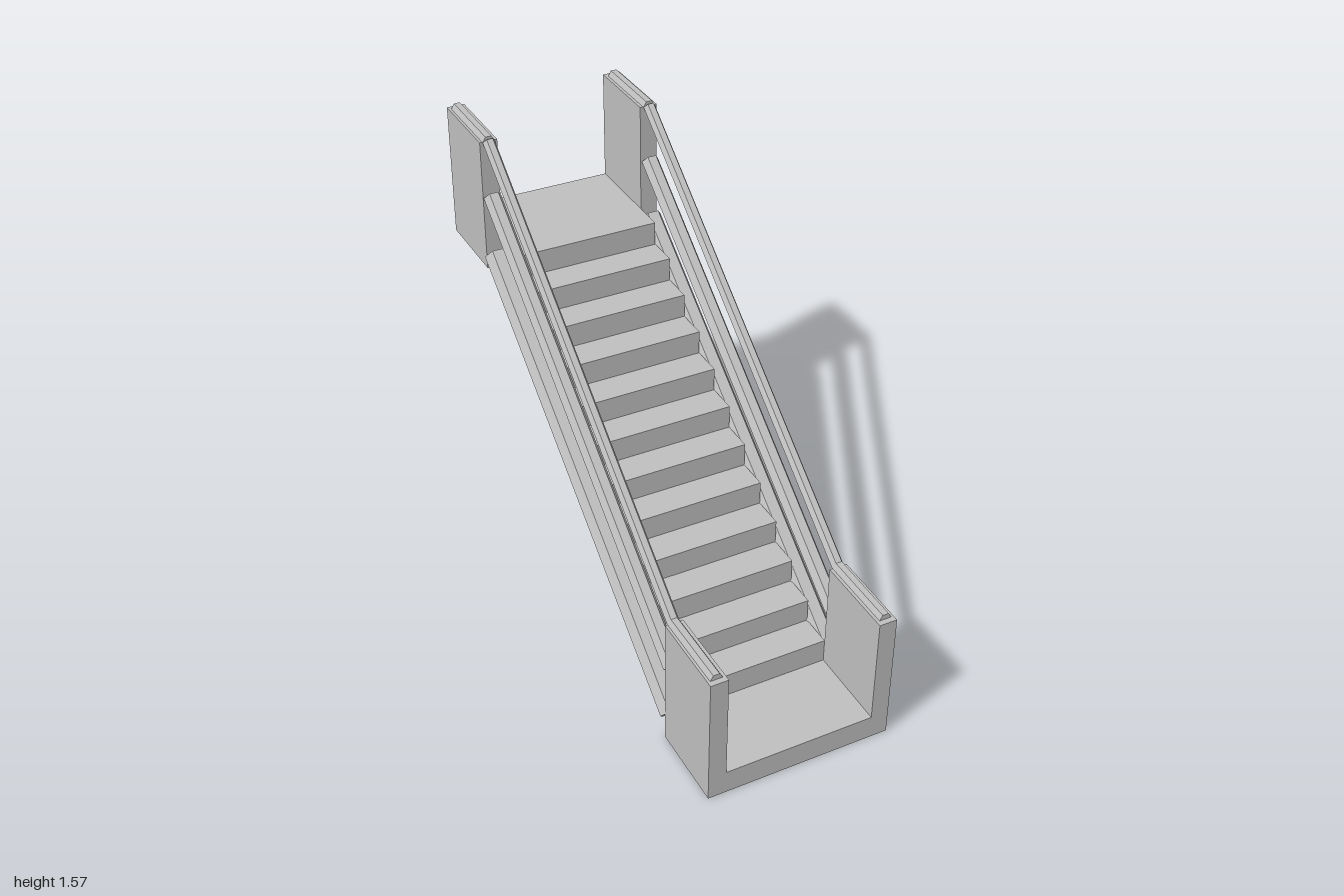
import * as THREE from 'three';

const concrete = new THREE.MeshStandardMaterial({ color: 0xbebebe, flatShading: true });
concrete.name = 'lightGrey';

const RAIL_X = 0.303;
const LANDING = 0.305; // landing depth
const RISE = 1.058;    // height between landings
const STEPS = 12;

function add(parent, name, geometry, x = 0, y = 0, z = 0) {
  const mesh = new THREE.Mesh(geometry, concrete);
  mesh.name = name;
  mesh.position.set(x, y, z);
  parent.add(mesh);
  return mesh;
}

// Hexagonal bar with its points to the sides, between two (y, z) ends
function bar(parent, name, x, radius, y0, z0, y1, z1) {
  const dy = y1 - y0, dz = z1 - z0;
  const geometry = new THREE.CylinderGeometry(radius, radius, Math.hypot(dy, dz), 6, 1, false, Math.PI / 2);
  geometry.rotateX(Math.atan2(dz, dy));
  add(parent, name, geometry, x, (y0 + y1) / 2, (z0 + z1) / 2);
}

// U-shaped landing: floor slab with two side walls
function landingGeometry() {
  const w = 0.334, inner = 0.27, floor = 0.088, h = 0.49;
  const shape = new THREE.Shape([
    [-w, 0], [w, 0], [w, h], [inner, h], [inner, floor],
    [-inner, floor], [-inner, h], [-w, h],
  ].map(([x, y]) => new THREE.Vector2(x, y)));
  return new THREE.ExtrudeGeometry(shape, { depth: LANDING, bevelEnabled: false });
}

export function createModel() {
  const model = new THREE.Group();
  model.name = 'staircase';

  // Landings
  add(model, 'lowerLanding', landingGeometry(), 0, 0, 1 - LANDING);
  add(model, 'upperLanding', landingGeometry(), 0, RISE, -1);

  // Steps
  const steps = new THREE.Group();
  steps.name = 'steps';
  model.add(steps);
  const run = 2 * (1 - LANDING) / STEPS, rise = RISE / STEPS, height = 0.126;
  for (let i = 0; i < STEPS; i++) {
    add(steps, 'step', new THREE.BoxGeometry(0.54, height, run),
      0, 0.088 + rise * (i + 1) - height / 2, 1 - LANDING - run * (i + 0.5));
  }

  // Stringers, rails and landing caps, mirrored on both sides
  for (const side of [-1, 1]) {
    const rails = new THREE.Group();
    rails.name = side > 0 ? 'leftRails' : 'rightRails';
    model.add(rails);
    const x = side * RAIL_X;
    bar(rails, 'stringer', x, 0.042, 0.088, 0.685, 1.112, -0.685);
    bar(rails, 'middleRail', x, 0.032, 0.293, 0.687, 1.34, -0.687);
    bar(rails, 'handrail', x, 0.022, 0.49, 0.69, 1.548, -0.69);
    bar(rails, 'lowerCap', x, 0.022, 0.49, 0.69, 0.49, 0.98);
    bar(rails, 'upperCap', x, 0.022, 1.548, -0.69, 1.548, -0.98);
  }
  return model;
}
